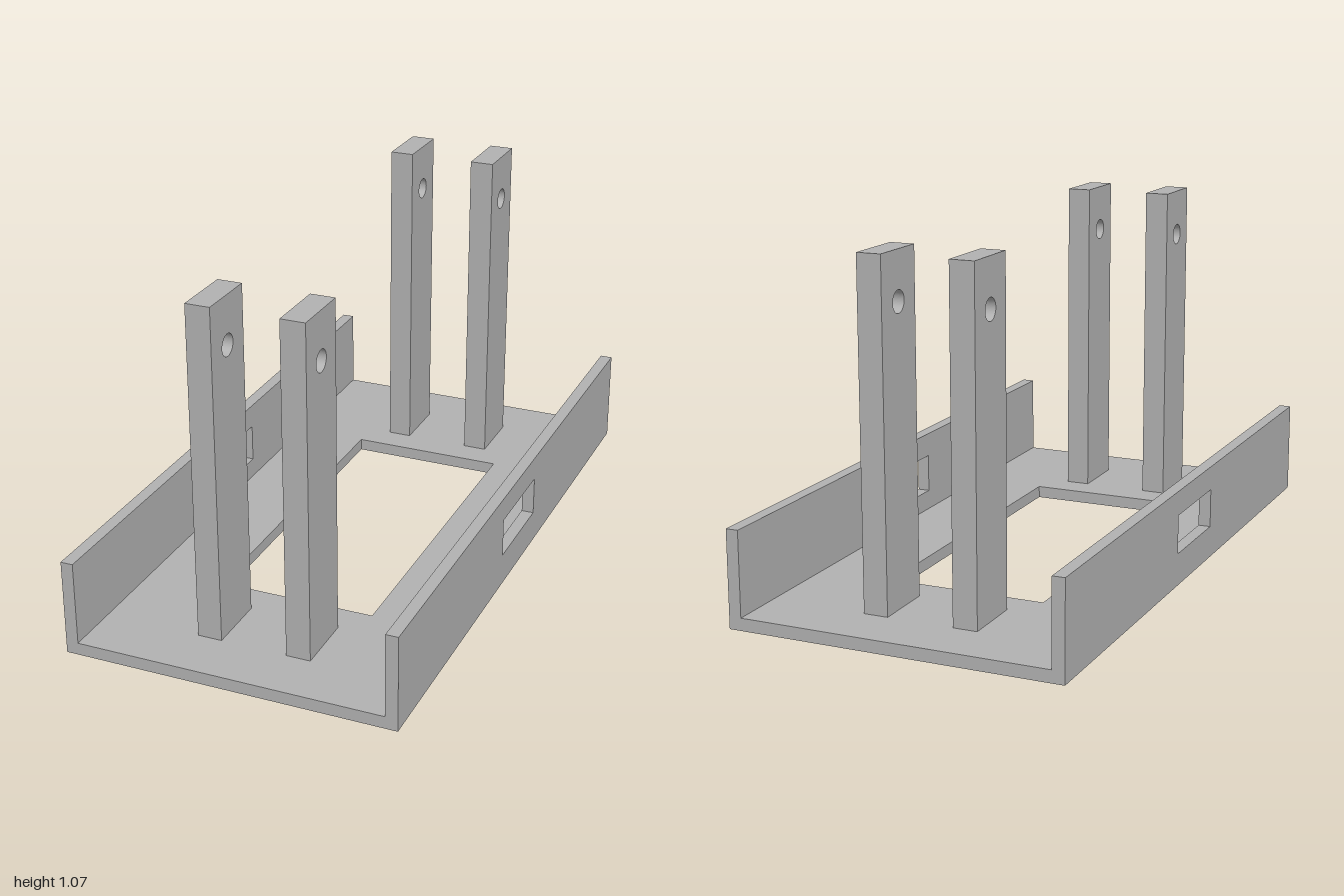
import * as THREE from 'three';

const WALL = 0.038, OUT = 0.512;

// Rectangle outline, given by its corners
function rect(Kind, x0, y0, x1, y1) {
  const p = new Kind();
  p.moveTo(x0, y0);
  p.lineTo(x1, y0);
  p.lineTo(x1, y1);
  p.lineTo(x0, y1);
  p.closePath();
  return p;
}

// Extrude an outline drawn in (-z, y) along x, starting at x0
function sidePlate(shape, x0, thickness) {
  const g = new THREE.ExtrudeGeometry(shape, { depth: thickness, bevelEnabled: false, curveSegments: 32 });
  return g.rotateY(Math.PI / 2).translate(x0, 0, 0);
}

export function createModel() {
  const model = new THREE.Group();
  const grey = new THREE.MeshStandardMaterial({ color: 0xb2b2b2 });
  grey.name = 'grey';

  const add = (name, geometry) => {
    const mesh = new THREE.Mesh(geometry, grey);
    mesh.name = name;
    model.add(mesh);
  };

  // Floor with a large rectangular opening
  const floor = rect(THREE.Shape, -OUT + WALL, -1, OUT - WALL, 1);
  floor.holes.push(rect(THREE.Path, -0.247, -0.535, 0.243, 0.54));
  add('floor', new THREE.ExtrudeGeometry(floor, { depth: WALL, bevelEnabled: false }).rotateX(-Math.PI / 2));

  for (const side of [-1, 1]) {
    const label = side > 0 ? 'left' : 'right';

    // Side wall with a small window
    const wall = rect(THREE.Shape, -1, 0, 1, 0.295);
    wall.holes.push(rect(THREE.Path, -0.15, 0.1, 0.145, 0.22));
    add(label + 'Wall', sidePlate(wall, side > 0 ? OUT - WALL : -OUT, WALL));

    // Upright posts with a pin hole near the top
    for (const end of [-1, 1]) {
      const c = -end * 0.731;
      const post = rect(THREE.Shape, c - 0.097, WALL, c + 0.097, 1.066);
      const hole = new THREE.Path();
      hole.absarc(c, 0.92, 0.033, 0, Math.PI * 2, true);
      post.holes.push(hole);
      add(label + (end > 0 ? 'Front' : 'Back') + 'Post', sidePlate(post, side > 0 ? 0.102 : -0.177, 0.075));
    }
  }
  return model;
}
